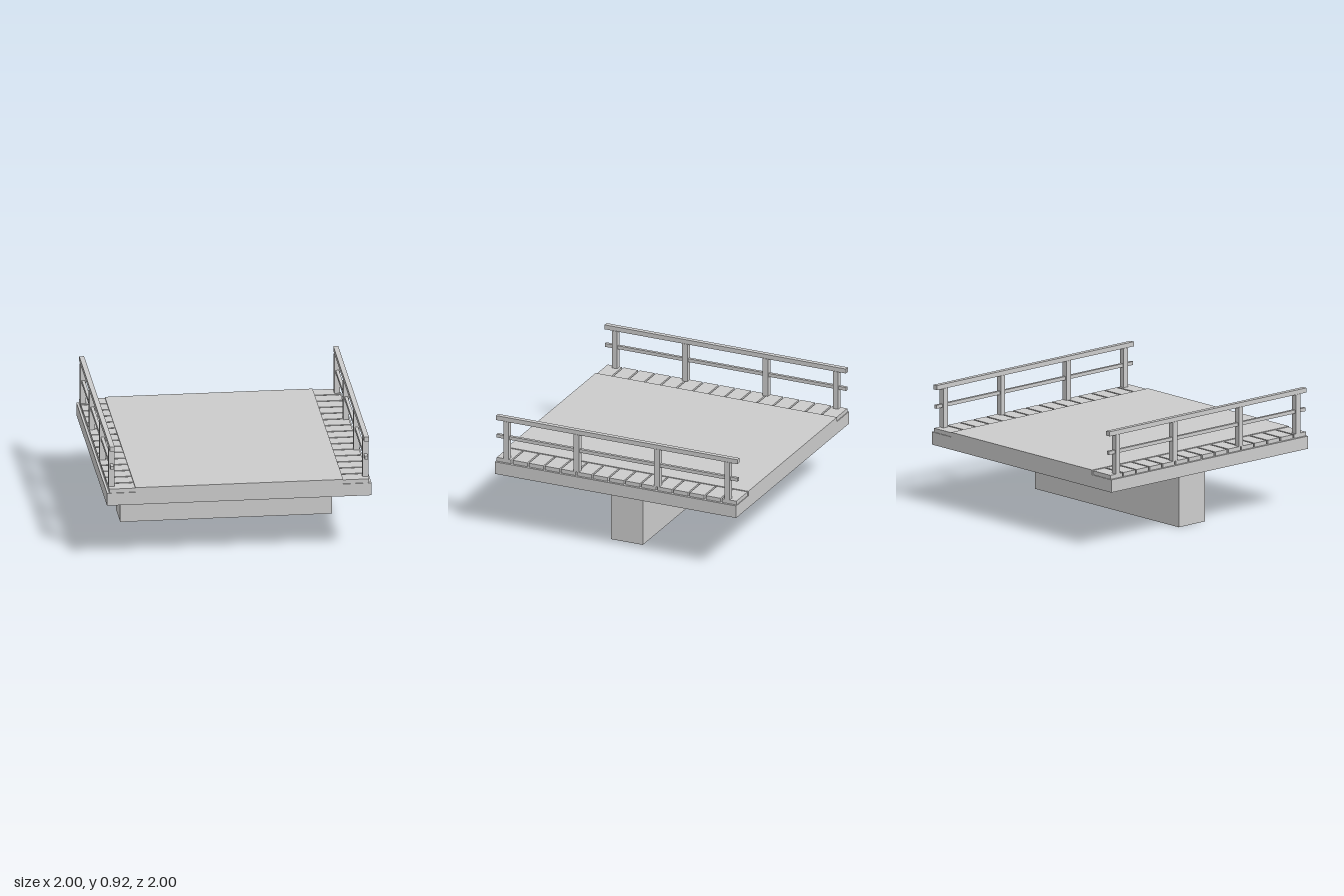
import * as THREE from 'three';

const material = new THREE.MeshStandardMaterial({ color: 0xcccccc, flatShading: true });

// Box given by its extents along each axis
function box(parent, name, [x0, x1], [y0, y1], [z0, z1]) {
  const mesh = new THREE.Mesh(new THREE.BoxGeometry(x1 - x0, y1 - y0, z1 - z0), material);
  mesh.position.set((x0 + x1) / 2, (y0 + y1) / 2, (z0 + z1) / 2);
  mesh.name = name;
  parent.add(mesh);
}

// Plank walkway and railing along one edge; side is +1 (left) or -1 (right)
function createEdge(side) {
  const edge = new THREE.Group();
  edge.name = side > 0 ? 'leftEdge' : 'rightEdge';
  const span = (a, b) => (side > 0 ? [a, b] : [-b, -a]);

  // Walkway planks separated by narrow gaps
  const count = 15, pitch = 2 / count, gap = 0.0133;
  for (let i = 0; i < count; i++) {
    const z = -1 + i * pitch;
    box(edge, 'walkwayPlank', span(0.785, 0.982), [0.55, 0.582], [z + gap / 2, z + pitch - gap / 2]);
  }

  // Railing posts
  for (const z of [-0.916, -0.334, 0.334, 0.916]) {
    box(edge, 'railingPost', span(0.938, 0.982), [0.58, 0.886], [z - 0.022, z + 0.022]);
  }

  // Handrail and thinner middle rail
  box(edge, 'handrail', span(0.942, 0.979), [0.884, 0.92], [-1, 1]);
  box(edge, 'middleRail', span(0.948, 0.972), [0.739, 0.766], [-1, 1]);
  return edge;
}

export function createModel() {
  const model = new THREE.Group();
  model.name = 'bridgeSection';

  // Support pier, deck slab and raised roadway
  box(model, 'pier', [-0.8, 0.8], [0, 0.453], [-0.133, 0.133]);
  box(model, 'deckSlab', [-1, 1], [0.453, 0.551], [-1, 1]);
  box(model, 'roadway', [-0.785, 0.785], [0.551, 0.588], [-1, 1]);

  // Mirrored walkways and railings
  for (const side of [1, -1]) model.add(createEdge(side));
  return model;
}
